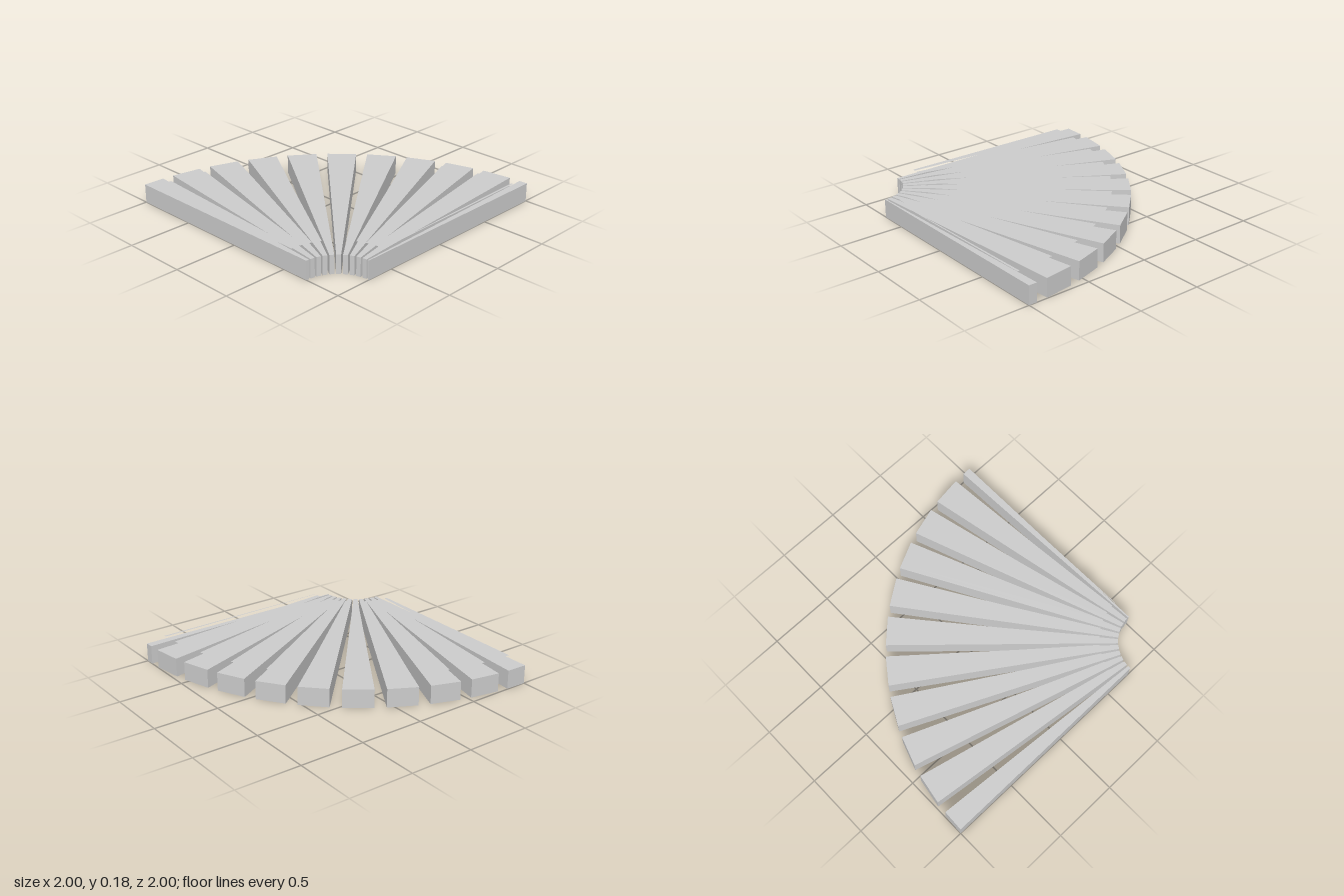
import * as THREE from 'three';

const HEIGHT = 0.143;      // slat thickness
const PANEL_Y = 0.177;     // thin sheets float a little above the slats
const INSET = 0.65;        // degrees the sheets are drawn in on each side
const rad = THREE.MathUtils.degToRad;

// Four-sided wedge between two radii and two angles, pivoting on the corner (-1, -1)
function wedge(r0, r1, a0, a1) {
  const at = (r, a) => new THREE.Vector2(-1 + r * Math.cos(rad(a)), -1 + r * Math.sin(rad(a)));
  return new THREE.Shape([at(r0, a0), at(r1, a0), at(r1, a1), at(r0, a1)]);
}

export function createModel() {
  const model = new THREE.Group();
  model.name = 'quarterFan';

  const grey = new THREE.MeshStandardMaterial({ color: 0xcccccc, side: THREE.DoubleSide });
  grey.name = 'light grey';

  // Eleven slats every 9 degrees; the first and last are cut off by the quarter's edges
  for (let i = 0; i <= 10; i++) {
    const start = Math.max(0, 85.35 - 9 * i);
    const end = Math.min(90, 91.85 - 9 * i);

    const slatGeometry = new THREE.ExtrudeGeometry(wedge(0.286, 2, start, end), {
      depth: HEIGHT, bevelEnabled: false,
    });
    slatGeometry.rotateX(-Math.PI / 2);
    const slat = new THREE.Mesh(slatGeometry, grey);
    slat.name = 'slat' + (i + 1);

    // Narrower sheet hovering over the slat
    const panelGeometry = new THREE.ShapeGeometry(wedge(0.429, 1.857, start + INSET, end - INSET));
    panelGeometry.rotateX(-Math.PI / 2);
    const panel = new THREE.Mesh(panelGeometry, grey);
    panel.name = 'topPanel' + (i + 1);
    panel.position.y = PANEL_Y;

    model.add(slat, panel);
  }
  return model;
}
